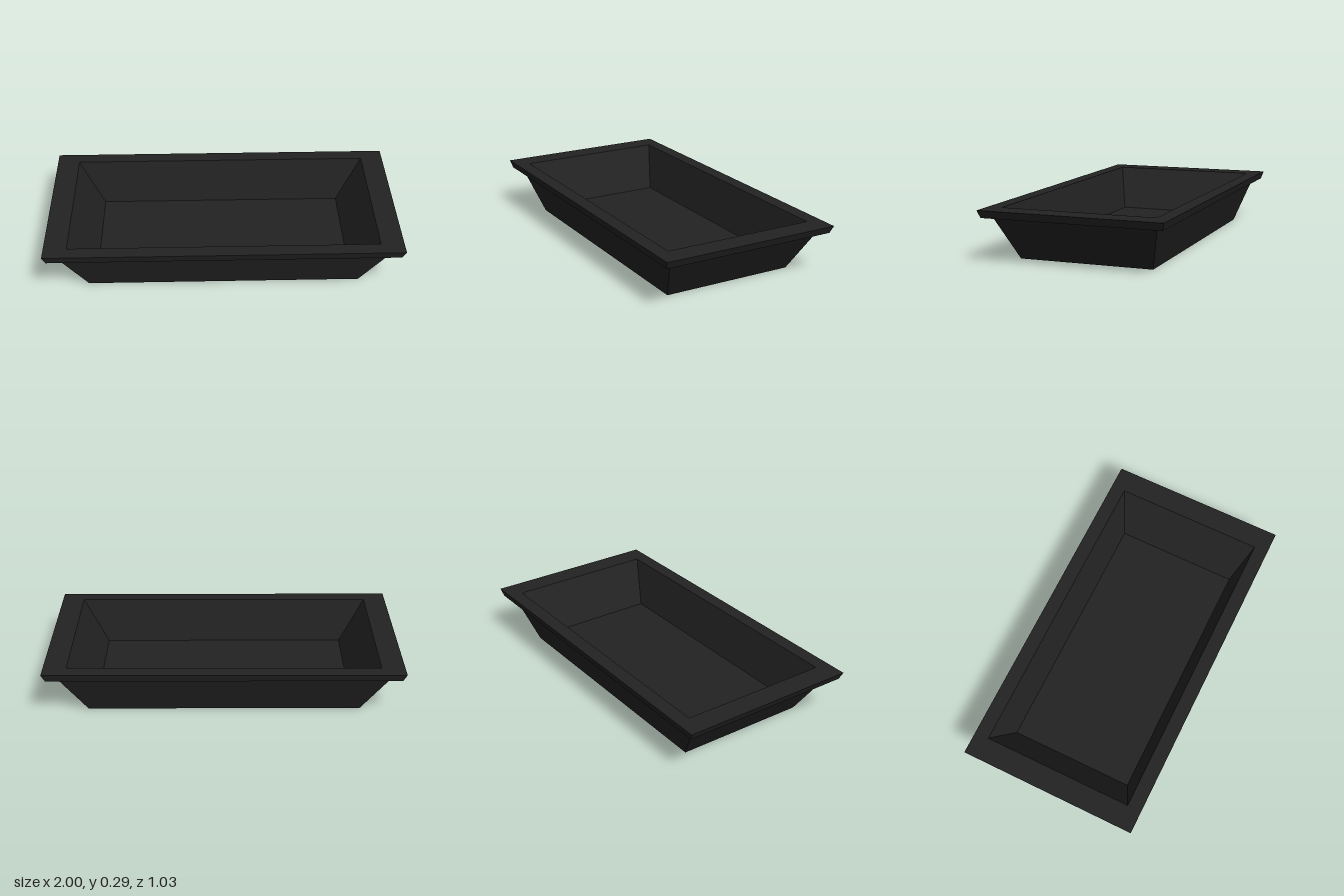
import * as THREE from 'three';

// Skin a stack of rectangles [halfWidth, y, halfDepth]; faces point outward when the stack rises
function rectLoft(rings, { capFirst = false, capLast = false } = {}) {
  const pos = [];
  const corners = ([w, y, d]) => [[-w, y, d], [w, y, d], [w, y, -d], [-w, y, -d]];
  const quad = (a, b, c, d) => pos.push(...a, ...b, ...c, ...a, ...c, ...d);
  for (let r = 0; r < rings.length - 1; r++) {
    const lo = corners(rings[r]), hi = corners(rings[r + 1]);
    for (let i = 0; i < 4; i++) {
      const j = (i + 1) % 4;
      quad(lo[i], lo[j], hi[j], hi[i]);
    }
  }
  if (capFirst) quad(...corners(rings[0]).reverse());
  if (capLast) quad(...corners(rings[rings.length - 1]));
  const geo = new THREE.BufferGeometry();
  geo.setAttribute('position', new THREE.Float32BufferAttribute(pos, 3));
  geo.computeVertexNormals();
  return geo;
}

export function createModel() {
  const group = new THREE.Group();
  group.name = 'tray';
  const black = new THREE.MeshStandardMaterial({ color: 0x222222 });
  black.name = 'black plastic';

  const add = (name, geo) => {
    const mesh = new THREE.Mesh(geo, black);
    mesh.name = name;
    group.add(mesh);
  };

  // Profile corners shared between neighbouring parts
  const neck = [0.925, 0.24, 0.457];
  const mouth = [0.87, 0.293, 0.435];

  // Tapered outer walls and underside
  add('outerBody', rectLoft([[0.77, 0, 0.38], neck], { capFirst: true }));
  // Overhanging lip: sloped underside, edge and flat top
  add('rim', rectLoft([neck, [0.98, 0.25, 0.505], [1, 0.293, 0.517], mouth]));
  // Recessed inner walls and floor
  add('basin', rectLoft([mouth, [0.72, 0.045, 0.36]], { capLast: true }));

  return group;
}
